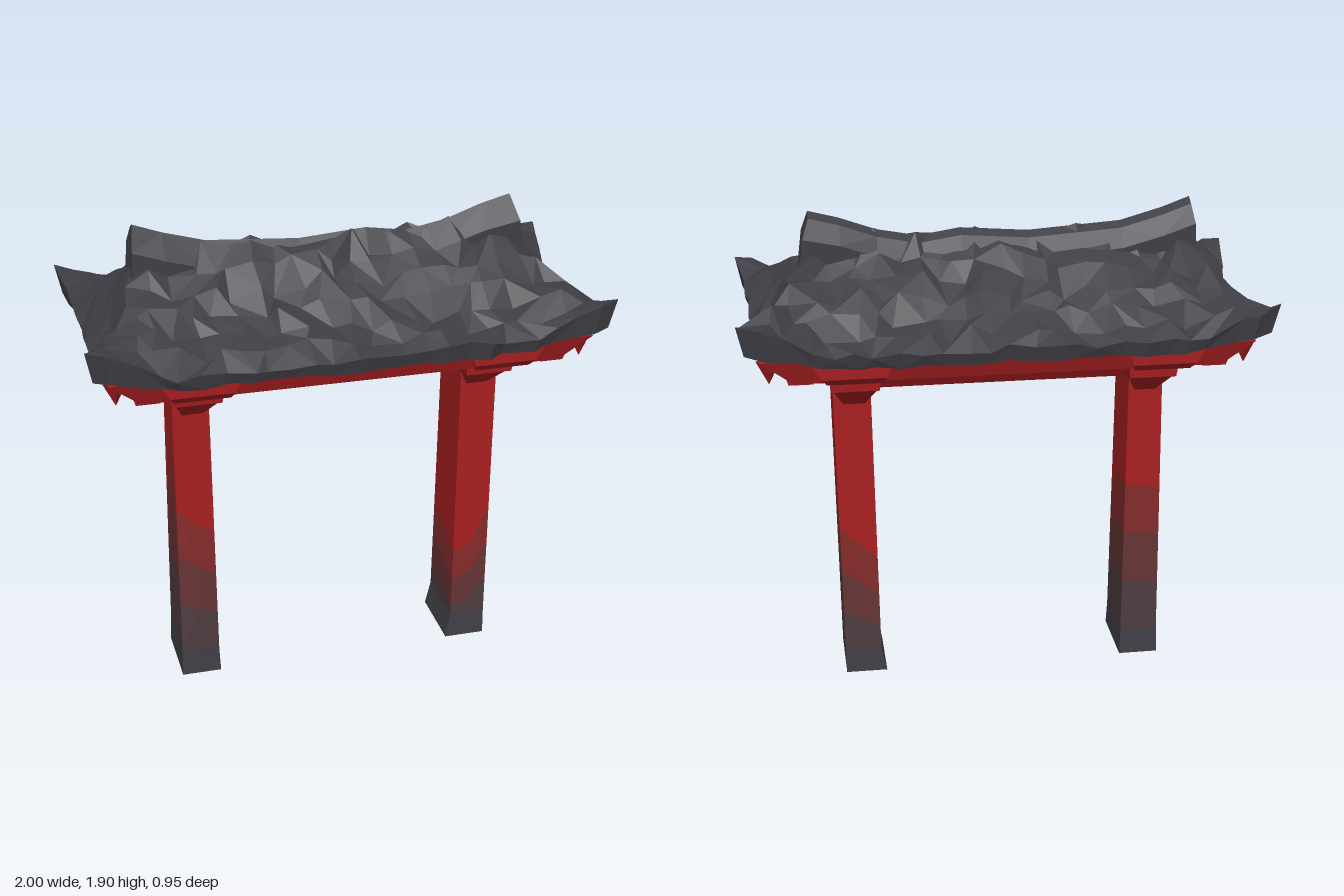
import * as THREE from 'three';

const mat = (name, color) => new THREE.MeshStandardMaterial({ name, color, flatShading: true });

// Repeatable noise in -1..1
function noise(a, b, c) {
  const s = Math.sin(a * 127.1 + b * 311.7 + c * 74.7) * 43758.5453;
  return (s - Math.floor(s)) * 2 - 1;
}

function soup(tris) {
  const g = new THREE.BufferGeometry();
  g.setAttribute('position', new THREE.Float32BufferAttribute(tris.flat(2), 3));
  g.computeVertexNormals();
  return g;
}

// Skin a list of closed rings; each ring runs counter-clockwise seen from the last ring's end
function loft(rings, caps = true) {
  const t = [];
  const n = rings[0].length;
  for (let i = 0; i < rings.length - 1; i++) {
    for (let j = 0; j < n; j++) {
      const k = (j + 1) % n;
      const [a, b, c, d] = [rings[i][j], rings[i][k], rings[i + 1][k], rings[i + 1][j]];
      if ((i + j) % 2) t.push([a, b, c], [a, c, d]);
      else t.push([a, b, d], [b, c, d]);
    }
  }
  if (caps) {
    const lo = rings[0], hi = rings[rings.length - 1];
    for (let j = 1; j < n - 1; j++) t.push([lo[0], lo[j + 1], lo[j]], [hi[0], hi[j], hi[j + 1]]);
  }
  return soup(t);
}

// Horizontal rectangle ring
const rect = (y, x0, x1, z0, z1) => [[x0, y, z1], [x1, y, z1], [x1, y, z0], [x0, y, z0]];

export function createModel() {
  const model = new THREE.Group();
  const slate = mat('slate', 0x3f3e45);
  const red = mat('red', 0xa81f21);
  const rust = mat('rust', 0x842b2b);
  const brown = mat('brown', 0x663335);
  const dusk = mat('dusk brown', 0x4e3a3f);
  const add = (name, geo, material, parent = model) => {
    const m = new THREE.Mesh(geo, material);
    m.name = name;
    parent.add(m);
    return m;
  };

  // Roof surface: two concave slopes, hipped ends and lifted corners
  const NX = 24, NZ = 12;
  const lerp = THREE.MathUtils.lerp;
  const roofPoint = (i, j) => {
    const edgeX = i === 0 || i === NX, edgeZ = j === 0 || j === NZ;
    const corner = edgeX && edgeZ;
    const u = (i / NX) * 2 - 1, v = (j / NZ) * 2 - 1;
    const jit = corner ? 0 : 1;
    const x = u * (0.95 + 0.05 * v * v) + noise(i, j, 1) * (edgeX ? 0.006 : 0.028) * jit;
    const z = v * (0.465 - (corner ? 0.015 : 0)) + noise(i, j, 2) * (edgeZ ? 0.014 : 0.024) * jit;
    const ax = Math.abs(x), az = Math.abs(z);
    const s = Math.max(0, 1 - az / 0.46);
    const slope = 1.475 + 0.22 * s + 0.1 * s * s;
    const h = Math.max(0, (0.95 - ax) / 0.2);
    const hip = 1.475 + 0.2 * h + 0.06 * h * h;
    const lift = 0.125 * Math.max(0, (ax - 0.68) / 0.32) * Math.max(0, (az - 0.12) / 0.33);
    const bump = noise(i, j, 3) * (edgeX || edgeZ ? 0.015 : 0.03) * jit;
    return [x, Math.min(slope, hip) + lift + bump, z];
  };
  const underPoint = (i, j) => {
    const [x, , z] = roofPoint(i, j);
    const ax = Math.abs(x), az = Math.abs(z);
    const lift = 0.06 * Math.max(0, (ax - 0.65) / 0.35) * Math.max(0, (az - 0.1) / 0.35);
    const s = 1 - Math.max(ax / 0.95, az / 0.46);
    return [x * 0.975, 1.418 + lift + 0.03 * Math.max(0, s) + noise(i, j, 4) * 0.008, z * 0.965];
  };
  const sheet = (fn, down, j0, j1) => {
    const t = [];
    for (let i = 0; i < NX; i++) {
      for (let j = j0; j < j1; j++) {
        const q = [fn(i, j), fn(i, j + 1), fn(i + 1, j + 1), fn(i + 1, j)];
        if (down) q.reverse();
        if (noise(i, j, 5) > 0) t.push([q[0], q[1], q[2]], [q[0], q[2], q[3]]);
        else t.push([q[0], q[1], q[3]], [q[1], q[2], q[3]]);
      }
    }
    return soup(t);
  };
  const rim = [];
  for (let i = 0; i < NX; i++) rim.push([i, NZ]);
  for (let j = NZ; j > 0; j--) rim.push([NX, j]);
  for (let i = NX; i > 0; i--) rim.push([i, 0]);
  for (let j = 0; j < NZ; j++) rim.push([0, j]);
  const lower = rim.map(([i, j]) => underPoint(i, j));
  const upper = rim.map(([i, j]) => roofPoint(i, j));
  const roof = new THREE.Group();
  roof.name = 'roof';
  model.add(roof);
  add('roofTop', sheet(roofPoint, false, 0, NZ), slate, roof);
  add('roofUnderside', sheet(underPoint, true, 1, NZ - 1), red, roof);
  add('backSoffit', sheet(underPoint, true, 0, 1), brown, roof);
  add('frontSoffit', sheet(underPoint, true, NZ - 1, NZ), rust, roof);
  add('eaveEdge', loft([lower, upper], false), slate, roof);

  // Sagging ridge beam with raised ends
  const ridgeLine = [[-0.75, 1.9], [-0.64, 1.86], [-0.48, 1.815], [-0.12, 1.79], [0.14, 1.81],
    [0.3, 1.785], [0.46, 1.815], [0.6, 1.865], [0.715, 1.895]];
  const ridge = ridgeLine.map(([x, y], i) => {
    const last = ridgeLine.length - 1;
    const foot = i === 0 ? x - 0.025 : i === last ? x + 0.05 : x;
    const w = 0.068 + 0.008 * noise(i, 2, 7) + (i === last ? 0.012 : 0);
    const mid = y - 0.09;
    return [[foot, 1.62, w], [foot, 1.62, -w], [lerp(foot, x, 0.5), mid, -w],
      [x, y - 0.02, -0.03], [x, y, 0.008], [lerp(foot, x, 0.5), mid, w]];
  });
  add('ridge', loft(ridge), slate, roof);

  // Lintel between the posts and the frame under the eaves
  add('lintel', loft([rect(1.205, -0.53, 0.53, -0.07, 0.07), rect(1.31, -0.55, 0.55, -0.14, 0.14),
    rect(1.45, -0.6, 0.6, -0.16, 0.16)]), red);
  for (const s of [-1, 1]) {
    add('eaveBeam', loft([rect(1.35, -0.8, 0.8, s * 0.35 - 0.035, s * 0.35 + 0.035),
      rect(1.45, -0.92, 0.92, s * 0.37 - 0.055, s * 0.37 + 0.055)]), red);
    add('endBeam', loft([rect(1.345, s * 0.775 - 0.045, s * 0.775 + 0.045, -0.38, 0.38),
      rect(1.45, s * 0.8 - 0.05, s * 0.8 + 0.05, -0.41, 0.41)]), red);
    // Carved points hanging at the corners and along the eaves
    for (const [x, h] of [[-0.89, 0.09], [-0.24, 0.08], [0.1, 0.09], [0.89, 0.09]]) {
      const tip = add('eavePoint', new THREE.ConeGeometry(0.045, h, 4), red);
      tip.rotation.x = Math.PI;
      tip.position.set(x, 1.395, s * 0.37);
    }
  }

  // Posts with stepped brackets; the red weathers to slate at the foot, between a low and a high limit
  const bands = [[0, 0], [0.1, 0.12], [0.15, 0.5], [0.27, 0.8], [0.4, 1.08], [1.3, 1.3]];
  const bandMats = [slate, dusk, brown, rust, red];
  // Section corners [x, z], x positive is the outer side
  const section = [[-1, 1], [0, 1], [1, 1], [1, 0], [1, -1], [0, -1], [-1, -1], [-1, 0]];
  for (const s of [-1, 1]) {
    const post = new THREE.Group();
    post.name = s < 0 ? 'rightPost' : 'leftPost';
    model.add(post);
    const wear = s < 0 ? [0.35, 0.42, 0.5, 1, 0.5, 0.52, 0.52, 0.55] : [0, 0.06, 0.3, 1, 0.35, 0.25, 0.15, 0.1];
    const ring = ([low, high]) => {
      const r = section.map(([px, pz], i) => {
        const y = lerp(low, high, wear[i]);
        const up = y / 1.3;
        const flare = Math.max(0, 1 - y / 0.1);
        const cx = s > 0 ? lerp(0.563, 0.579, up) - 0.01 * flare : lerp(0.575, 0.573, up);
        const hx = s > 0 ? lerp(0.072, 0.073, up) + 0.01 * flare : lerp(0.076, 0.066, up) + 0.003 * flare;
        // The right post's outer front corner is cut back towards the top
        const cut = s < 0 && i === 2 ? 1 - 0.5 * up : 1;
        return [s * (cx + px * hx), y, pz * (lerp(0.138, 0.122, up) * cut + 0.005 * flare)];
      });
      return s < 0 ? r.reverse() : r;
    };
    bandMats.forEach((m, k) => {
      const rings = [ring(bands[k]), ring(bands[k + 1])];
      if (k === 0) rings.splice(1, 0, ring([0.085, 0.085]));
      add('postBand', loft(rings, k === 0), m, post);
    });
    const box = (y, inner, outer, z) => (s > 0 ? rect(y, inner, outer, -z, z) : rect(y, -outer, -inner, -z, z));
    add('bracketLong', loft([box(1.16, 0.53, 0.61, 0.12), box(1.25, 0.49, 0.65, 0.23),
      box(1.265, 0.48, 0.66, 0.265), box(1.345, 0.47, 0.67, 0.275)]), red, post);
    add('bracketWide', loft([box(1.2, 0.51, 0.64, 0.04), box(1.27, 0.46, 0.74, 0.055),
      box(1.29, 0.44, 0.79, 0.06), box(1.345, 0.4, 0.8, 0.07)]), red, post);
    add('crossArm', loft([box(1.342, 0.47, 0.68, 0.39), box(1.37, 0.46, 0.7, 0.415),
      box(1.44, 0.43, 0.74, 0.42)]), red, post);
  }
  return model;
}
